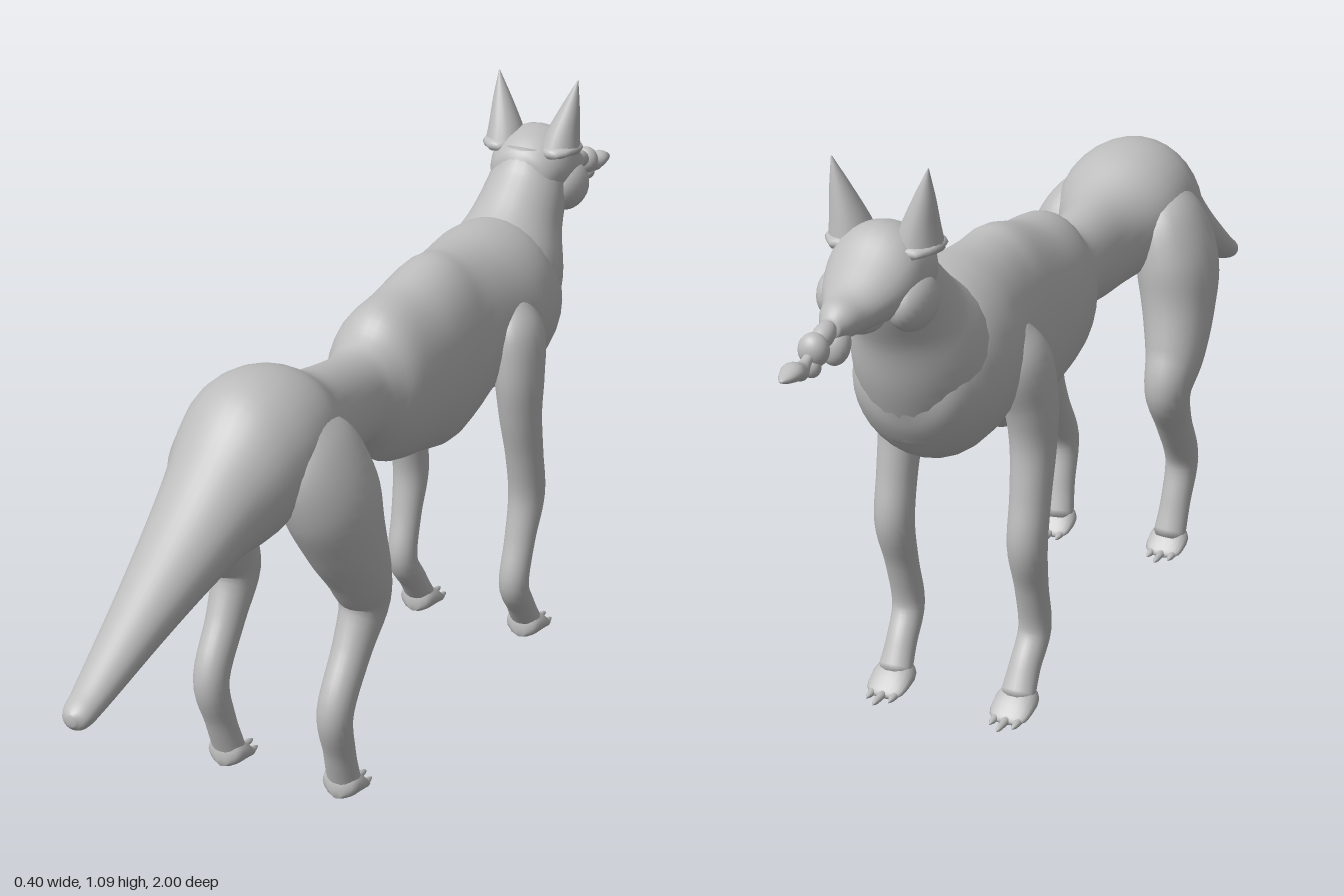
import * as THREE from 'three';

const coat = new THREE.MeshStandardMaterial({ color: 0xbcbcbc });
coat.name = 'grey coat';

// Smooth closed skin through elliptical rings. Station: [x, y, z, halfWidth, halfDepth].
// A fixed axis keeps all rings parallel; otherwise they follow the path.
function loft(name, stations, { axis = null, sides = 24, steps = 5 } = {}) {
  const path = new THREE.CatmullRomCurve3(stations.map(s => new THREE.Vector3(s[0], s[1], s[2])), false, 'catmullrom', 0.5);
  const size = new THREE.CatmullRomCurve3(stations.map(s => new THREE.Vector3(s[3], s[4], 0)), false, 'catmullrom', 0.5);
  const rows = (stations.length - 1) * steps;
  const pos = [], index = [];
  for (let i = 0; i <= rows; i++) {
    const c = path.getPoint(i / rows), r = size.getPoint(i / rows);
    const t = axis ? axis.clone() : path.getTangent(i / rows);
    const side = new THREE.Vector3(1, 0, 0).addScaledVector(t, -t.x).normalize();
    const up = t.clone().cross(side);
    for (let j = 0; j < sides; j++) {
      const a = (j / sides) * Math.PI * 2;
      const p = c.clone()
        .addScaledVector(side, Math.max(r.x, 0.001) * Math.cos(a))
        .addScaledVector(up, Math.max(r.y, 0.001) * Math.sin(a));
      pos.push(p.x, p.y, p.z);
    }
  }
  for (let i = 0; i < rows; i++) {
    for (let j = 0; j < sides; j++) {
      const k = (j + 1) % sides;
      const a = i * sides + j, b = i * sides + k;
      index.push(a, b, a + sides, b, b + sides, a + sides);
    }
  }
  // end caps
  const first = pos.length / 3, last = rows * sides;
  for (const t of [0, 1]) pos.push(...path.getPoint(t).toArray());
  for (let j = 0; j < sides; j++) {
    const k = (j + 1) % sides;
    index.push(first, k, j, first + 1, last + j, last + k);
  }
  const geo = new THREE.BufferGeometry();
  geo.setAttribute('position', new THREE.Float32BufferAttribute(pos, 3));
  geo.setIndex(index);
  geo.computeVertexNormals();
  const mesh = new THREE.Mesh(geo, coat);
  mesh.name = name;
  return mesh;
}

const forward = new THREE.Vector3(0, 0, -1);
// Horizontal form from [z, top, bottom, halfWidth] outlines
const outline = (name, rows, x = 0, options = {}) => loft(name,
  rows.map(([z, top, bottom, w]) => [x, (top + bottom) / 2, z, w, (top - bottom) / 2]),
  { axis: forward, ...options });

function ball(name, x, y, z, rx, ry, rz, tilt = 0) {
  const mesh = new THREE.Mesh(new THREE.SphereGeometry(1, 24, 16), coat);
  mesh.name = name;
  mesh.position.set(x, y, z);
  mesh.scale.set(rx, ry, rz);
  mesh.rotation.x = tilt;
  return mesh;
}

// Paw with three small claws; z is the heel
function paw(name, x, z, length) {
  const group = new THREE.Group();
  group.name = name;
  group.add(outline('pad', [
    [z, 0.03, 0.004, 0.012], [z - 0.012, 0.055, 0, 0.034], [z - length * 0.5, 0.05, 0, 0.04],
    [z - length * 0.85, 0.026, 0, 0.036], [z - length, 0.012, 0.003, 0.02],
  ], x, { sides: 16, steps: 3 }));
  for (const dx of [-0.022, 0, 0.022]) {
    const end = z - length - (dx ? 0.018 : 0.036);
    group.add(outline('claw', [
      [z - length * 0.8, 0.018, 0.002, 0.008], [end + 0.012, 0.014, 0.003, 0.006], [end, 0.009, 0.006, 0.001],
    ], x + dx, { sides: 8, steps: 3 }));
  }
  return group;
}

export function createModel() {
  const model = new THREE.Group();
  model.name = 'animal';

  // tail, hips, waist, ribcage and chest
  model.add(outline('tailAndBody', [
    [1.0, 0.435, 0.415, 0.008], [0.985, 0.448, 0.404, 0.026], [0.94, 0.475, 0.415, 0.034],
    [0.8, 0.57, 0.465, 0.055], [0.68, 0.655, 0.505, 0.076], [0.58, 0.735, 0.53, 0.096],
    [0.5, 0.805, 0.535, 0.12], [0.43, 0.825, 0.56, 0.132], [0.35, 0.815, 0.575, 0.125],
    [0.27, 0.775, 0.572, 0.092], [0.2, 0.76, 0.568, 0.075], [0.1, 0.75, 0.572, 0.07],
    [0.055, 0.765, 0.548, 0.08], [0, 0.807, 0.503, 0.102], [-0.1, 0.82, 0.484, 0.113],
    [-0.2, 0.845, 0.463, 0.113], [-0.26, 0.842, 0.48, 0.114], [-0.33, 0.842, 0.517, 0.122],
    [-0.42, 0.847, 0.512, 0.138], [-0.49, 0.84, 0.512, 0.134], [-0.55, 0.8, 0.54, 0.115],
    [-0.59, 0.75, 0.59, 0.085], [-0.612, 0.7, 0.64, 0.03],
  ], 0, { sides: 32 }));

  // neck
  model.add(loft('neck', [
    [0, 0.66, -0.46, 0.125, 0.15], [0, 0.74, -0.525, 0.118, 0.125], [0, 0.81, -0.575, 0.092, 0.095],
    [0, 0.87, -0.618, 0.08, 0.08], [0, 0.93, -0.645, 0.07, 0.07],
  ], { sides: 28 }));

  // skull tapering to the muzzle
  model.add(outline('head', [
    [-0.565, 0.93, 0.88, 0.02], [-0.58, 0.955, 0.85, 0.06], [-0.62, 0.98, 0.835, 0.081],
    [-0.675, 0.985, 0.835, 0.083], [-0.73, 0.945, 0.835, 0.07], [-0.78, 0.91, 0.838, 0.045],
    [-0.815, 0.9, 0.84, 0.032], [-0.84, 0.88, 0.85, 0.016],
  ]));

  // lumpy, knotted nose
  model.add(
    ball('chin', 0, 0.85, -0.735, 0.04, 0.025, 0.045),
    ball('noseLump', 0, 0.835, -0.822, 0.026, 0.035, 0.022, 0.3),
    ball('noseLump', 0, 0.862, -0.86, 0.018, 0.018, 0.03, -0.4),
    ball('noseLump', 0, 0.85, -0.893, 0.026, 0.028, 0.022),
    ball('noseLump', 0, 0.825, -0.902, 0.016, 0.018, 0.014),
  );
  model.add(outline('noseTip', [
    [-0.88, 0.865, 0.845, 0.01], [-0.915, 0.85, 0.832, 0.009], [-0.935, 0.845, 0.815, 0.014],
    [-0.96, 0.853, 0.822, 0.02], [-0.985, 0.844, 0.827, 0.013], [-1.0, 0.837, 0.833, 0.003],
  ], 0, { sides: 14, steps: 4 }));

  for (const [s, label] of [[1, 'left'], [-1, 'right']]) {
    // cheek and pointed ear with a flared rim
    model.add(ball(label + 'Cheek', s * 0.063, 0.865, -0.672, 0.038, 0.048, 0.062));
    model.add(outline(label + 'EarRim', [
      [-0.588, 0.955, 0.94, 0.012], [-0.61, 0.965, 0.938, 0.034], [-0.66, 0.965, 0.938, 0.037],
      [-0.69, 0.955, 0.94, 0.015],
    ], s * 0.063, { sides: 14, steps: 3 }));
    model.add(loft(label + 'Ear', [
      [s * 0.058, 0.945, -0.638, 0.042, 0.048], [s * 0.064, 0.985, -0.643, 0.032, 0.036],
      [s * 0.075, 1.035, -0.65, 0.018, 0.019], [s * 0.086, 1.086, -0.657, 0.001, 0.001],
    ], { axis: new THREE.Vector3(0, 1, 0), sides: 20 }));

    // hind leg: thigh, knee, hock and paw
    model.add(loft(label + 'HindLeg', [
      [s * 0.07, 0.74, 0.41, 0.04, 0.05], [s * 0.095, 0.68, 0.395, 0.066, 0.1],
      [s * 0.118, 0.6, 0.375, 0.077, 0.105], [s * 0.13, 0.52, 0.35, 0.07, 0.085],
      [s * 0.138, 0.44, 0.315, 0.058, 0.064], [s * 0.135, 0.37, 0.288, 0.045, 0.052],
      [s * 0.132, 0.29, 0.328, 0.036, 0.038], [s * 0.13, 0.19, 0.385, 0.033, 0.035],
      [s * 0.126, 0.1, 0.365, 0.03, 0.028], [s * 0.122, 0.03, 0.342, 0.033, 0.026],
    ]));
    model.add(paw(label + 'HindPaw', s * 0.122, 0.372, 0.075));

    // front leg: shoulder, elbow, wrist and paw
    model.add(loft(label + 'FrontLeg', [
      [s * 0.09, 0.72, -0.37, 0.03, 0.04], [s * 0.11, 0.66, -0.36, 0.05, 0.068],
      [s * 0.124, 0.58, -0.345, 0.046, 0.06], [s * 0.128, 0.5, -0.345, 0.041, 0.046],
      [s * 0.13, 0.41, -0.362, 0.037, 0.039], [s * 0.13, 0.32, -0.376, 0.036, 0.038],
      [s * 0.128, 0.23, -0.354, 0.031, 0.029], [s * 0.126, 0.14, -0.335, 0.03, 0.03],
      [s * 0.123, 0.08, -0.372, 0.029, 0.027], [s * 0.122, 0.03, -0.405, 0.033, 0.024],
    ]));
    model.add(paw(label + 'FrontPaw', s * 0.122, -0.372, 0.085));
  }
  return model;
}
